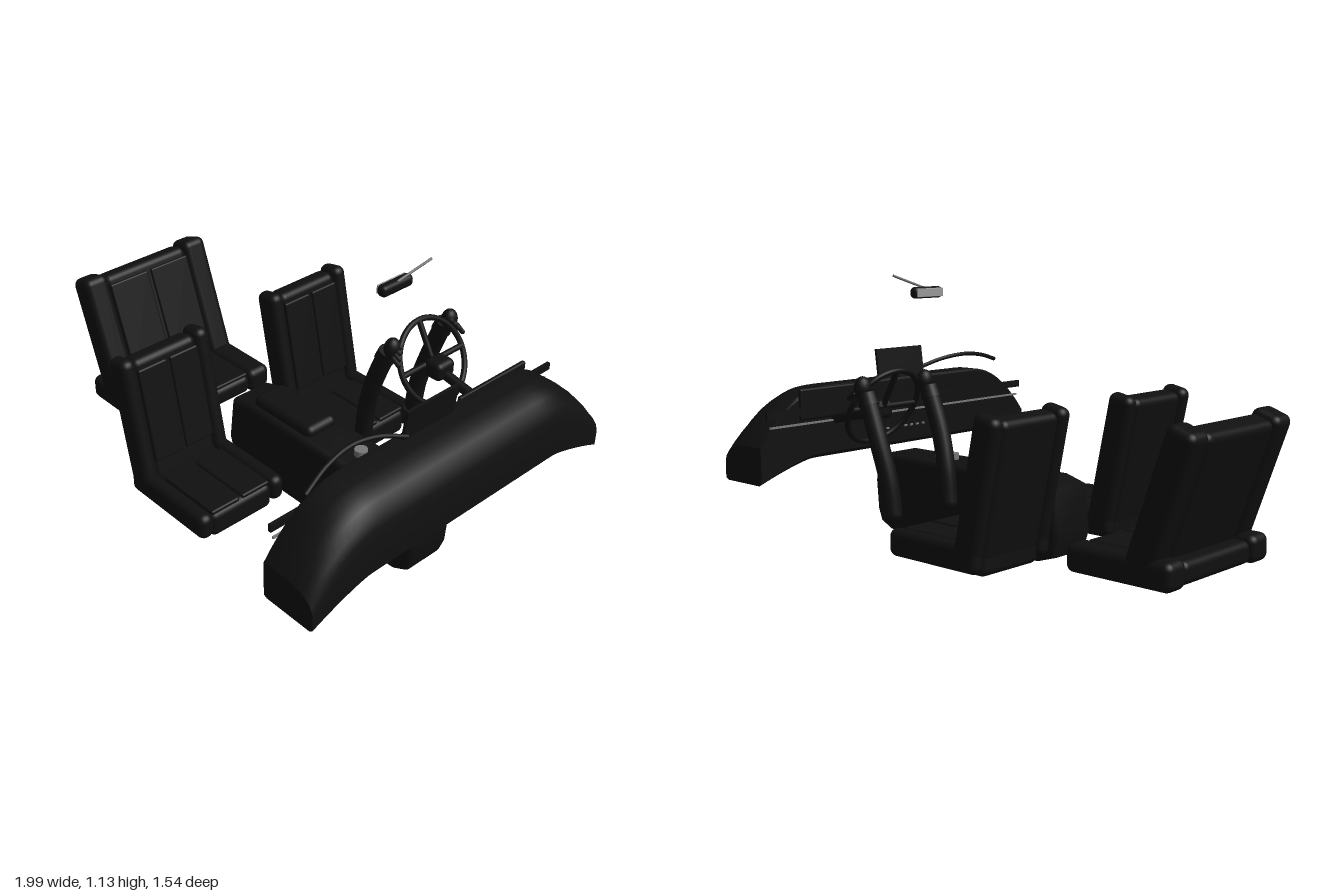
import * as THREE from 'three';
import { RoundedBoxGeometry } from 'three/addons/geometries/RoundedBoxGeometry.js';
import { toCreasedNormals } from 'three/addons/utils/BufferGeometryUtils.js';

const material = (name, color, side = THREE.FrontSide) => {
  const m = new THREE.MeshStandardMaterial({ color, side });
  m.name = name;
  return m;
};

export function createModel() {
  const model = new THREE.Group();
  model.name = 'carInterior';
  const black = material('black', 0x101010);
  const grey = material('metalGrey', 0x777777);
  const glass = material('mirrorGrey', 0x999999);

  const add = (parent, name, geometry, mat, x = 0, y = 0, z = 0) => {
    const mesh = new THREE.Mesh(geometry, mat);
    mesh.name = name;
    mesh.position.set(x, y, z);
    parent.add(mesh);
    return mesh;
  };
  const rbox = (w, h, d, r) => new RoundedBoxGeometry(w, h, d, 4, r);
  const group = (name, parent = model) => {
    const g = new THREE.Group();
    g.name = name;
    parent.add(g);
    return g;
  };
  // straight round bar between two points
  const bar = (parent, name, a, b, r, mat) => {
    const p = new THREE.Vector3(...a), q = new THREE.Vector3(...b);
    const d = q.clone().sub(p);
    const mesh = add(parent, name, new THREE.CylinderGeometry(r, r, d.length(), 16), mat);
    mesh.position.copy(p).add(q).multiplyScalar(0.5);
    mesh.quaternion.setFromUnitVectors(new THREE.Vector3(0, 1, 0), d.normalize());
    return mesh;
  };

  // Seats: flat centre pads between raised side bolsters
  function seat(name, { z, half, bolster, x0, x1, bottom, foot, head, thick }) {
    const s = group(name);
    s.position.z = z;
    const inner = 2 * (half - bolster) + 0.015, cx = (x0 + x1) / 2, len = x1 - x0;
    add(s, 'cushion', rbox(len - 0.02, 0.175 - bottom, inner, 0.03), black, cx, (bottom + 0.175) / 2);
    const back = group('backrest', s);
    const dx = head[0] - foot[0], dy = head[1] - foot[1], tall = Math.hypot(dx, dy);
    back.position.set(foot[0], foot[1], 0);
    back.rotation.z = Math.atan2(-dx, dy);
    add(back, 'backPad', rbox(thick - 0.02, tall - 0.015, inner, 0.03), black, -0.004, tall / 2 - 0.0075);
    for (const side of [-1, 1]) {
      const bz = side * (half - bolster / 2);
      add(s, 'cushionBolster', rbox(len, 0.11, bolster, 0.032), black, cx, 0.135, bz);
      add(back, 'backBolster', rbox(thick, tall, bolster, 0.032), black, 0, tall / 2, bz);
      // padded panels on the cushion and backrest
      add(s, 'cushionPanel', rbox(len * 0.65, 0.02, inner / 2 - 0.015, 0.009), black, cx + 0.06, 0.175, side * inner / 4);
      add(back, 'backPanel', rbox(0.02, tall * 0.72, inner / 2 - 0.015, 0.009), black, thick / 2 - 0.014, tall * 0.54, side * inner / 4);
    }
  }
  const front = { half: 0.215, bolster: 0.068, x0: -0.25, x1: 0.21, bottom: 0.06, foot: [-0.185, 0.12], head: [-0.303, 0.67], thick: 0.115 };
  seat('driverSeat', { ...front, z: -0.385 });
  seat('passengerSeat', { ...front, z: 0.385 });
  seat('rearSeat', { z: 0, half: 0.325, bolster: 0.115, x0: -0.91, x1: -0.44, bottom: 0.085, foot: [-0.755, 0.13], head: [-0.945, 0.658], thick: 0.125 });

  // Centre console with softened edges
  const bevel = 0.03;
  const consoleShape = new THREE.Shape([
    [-0.19, 0.13], [-0.17, 0.065], [-0.1, 0.043], [0.74, 0.038], [0.785, 0.06], [0.8, 0.1],
    [0.81, 0.22], [0.8, 0.29], [0.77, 0.315], [-0.1, 0.315], [-0.17, 0.295],
  ].map(p => new THREE.Vector2(...p)));
  const consoleGeometry = new THREE.ExtrudeGeometry(consoleShape, {
    depth: 0.16, bevelEnabled: true, bevelSize: bevel, bevelThickness: bevel, bevelSegments: 5,
  });
  const centre = group('centreConsole');
  add(centre, 'consoleBody', toCreasedNormals(consoleGeometry, 0.7), black, 0, 0, -0.08);
  add(centre, 'armrest', rbox(0.34, 0.07, 0.16, 0.03), black, 0.08, 0.35, 0);
  add(centre, 'largeKnob', new THREE.CylinderGeometry(0.027, 0.027, 0.03, 24), grey, 0.458, 0.357, 0);
  add(centre, 'smallKnob', new THREE.CylinderGeometry(0.021, 0.021, 0.03, 24), grey, 0.535, 0.357, 0);

  // Dashboard: rounded section swept across the cabin, drooping at both ends
  const dashShape = new THREE.Shape([
    [0.76, 0.05], [0.775, 0], [0.985, 0], [1, 0.06], [1, 0.5], [0.992, 0.66], [0.975, 0.79],
    [0.945, 0.9], [0.905, 0.97], [0.86, 1], [0.77, 1], [0.76, 0.97],
  ].map(p => new THREE.Vector2(...p)));
  const dashGeometry = new THREE.ExtrudeGeometry(dashShape, { depth: 1.54, steps: 48, bevelEnabled: false });
  dashGeometry.translate(0, 0, -0.77);
  const pos = dashGeometry.attributes.position;
  for (let i = 0; i < pos.count; i++) {
    const az = Math.abs(pos.getZ(i));
    const top = 0.675 - 0.22 * Math.pow(Math.max(0, (az - 0.42) / 0.35), 2.2);
    const low = 0.38 - 0.08 * Math.pow(Math.max(0, (az - 0.5) / 0.27), 1.3);
    pos.setY(i, low + (top - low) * pos.getY(i));
  }
  const dash = group('dashboard');
  add(dash, 'dashBody', toCreasedNormals(dashGeometry, 0.6), black);
  add(dash, 'dashTrim', new THREE.BoxGeometry(0.014, 0.03, 1.48), black, 0.757, 0.58, 0);
  add(dash, 'brightStrip', new THREE.BoxGeometry(0.008, 0.008, 1.45), grey, 0.756, 0.53, 0);
  add(dash, 'instrumentPanel', rbox(0.02, 0.13, 0.38, 0.009), black, 0.757, 0.61, -0.385);
  const screen = add(dash, 'screen', new THREE.BoxGeometry(0.012, 0.16, 0.265), black, 0.803, 0.722, 0.02);
  screen.rotation.z = -0.13;
  for (let i = 0; i < 9; i++) {
    add(dash, 'button', new THREE.BoxGeometry(0.008, 0.008, 0.014), grey, 0.757, 0.46, -0.17 + i * 0.035);
  }
  // thin arched rail on the passenger side
  const arch = new THREE.CatmullRomCurve3([
    [0.82, 0.7, 0.15], [0.785, 0.735, 0.26], [0.77, 0.748, 0.38], [0.785, 0.735, 0.51], [0.82, 0.703, 0.64],
  ].map(p => new THREE.Vector3(...p)));
  add(dash, 'archedRail', new THREE.TubeGeometry(arch, 32, 0.009, 8), black);

  // Steering wheel: local y runs up the rim, local z is the column axis
  const steering = group('steering');
  const wheel = group('steeringWheel', steering);
  wheel.position.set(0.46, 0.613, -0.385);
  const up = new THREE.Vector3(-0.496, 0.868, 0), side = new THREE.Vector3(0, 0, 1);
  wheel.quaternion.setFromRotationMatrix(new THREE.Matrix4().makeBasis(side, up, side.clone().cross(up)));
  add(wheel, 'rim', new THREE.TorusGeometry(0.172, 0.012, 12, 48), black);
  for (const [x, y] of [[1, 0], [-1, 0], [0, 1]]) {
    bar(wheel, 'spoke', [0, 0, 0], [x * 0.172, y * 0.172, 0], 0.012, black);
  }
  add(steering, 'hub', rbox(0.09, 0.08, 0.1, 0.025), black, 0.495, 0.6, -0.385);
  bar(steering, 'column', [0.48, 0.592, -0.385], [0.78, 0.532, -0.385], 0.021, black);

  // Driver's sleeves and gloves gripping the rim
  for (const s of [-1, 1]) {
    const arm = group(s < 0 ? 'rightArm' : 'leftArm');
    const at = (x, y, w) => new THREE.Vector3(x, y, -0.385 + s * w);
    const path = new THREE.CatmullRomCurve3([at(0.245, 0.23, 0.15), at(0.262, 0.36, 0.155), at(0.3, 0.5, 0.165), at(0.36, 0.66, 0.165)]);
    add(arm, 'sleeve', new THREE.TubeGeometry(path, 24, 0.037, 16), black);
    add(arm, 'sleeveEnd', new THREE.SphereGeometry(0.037, 16, 12), black, 0.245, 0.23, path.getPoint(0).z);
    const cuff = add(arm, 'cuff', new THREE.CylinderGeometry(0.036, 0.041, 0.05, 16), black, 0.362, 0.665, -0.385 + s * 0.165);
    cuff.rotation.z = -0.35;
    const palm = add(arm, 'palm', new THREE.SphereGeometry(0.04, 16, 12), black, 0.392, 0.708, -0.385 + s * 0.165);
    palm.scale.set(0.8, 1.15, 0.9);
    for (let i = 0; i < 4; i++) {
      const f = i * 0.017;
      const finger = add(arm, 'finger', new THREE.CapsuleGeometry(0.01, 0.035, 4, 8), black,
        0.402 + f * 0.6, 0.725 - f, -0.385 + s * (0.15 + f * 0.7));
      finger.rotation.z = 1.0;
    }
  }

  // Rear-view mirror and its stalk
  const mirror = group('rearViewMirror');
  add(mirror, 'mirrorHousing', rbox(0.043, 0.047, 0.16, 0.018), black, 0.477, 1.059, -0.123);
  add(mirror, 'mirrorGlass', rbox(0.006, 0.036, 0.145, 0.0028), glass, 0.455, 1.059, -0.123);
  bar(mirror, 'mirrorStalk', [0.485, 1.075, -0.12], [0.514, 1.13, -0.272], 0.005, grey);

  return model;
}
